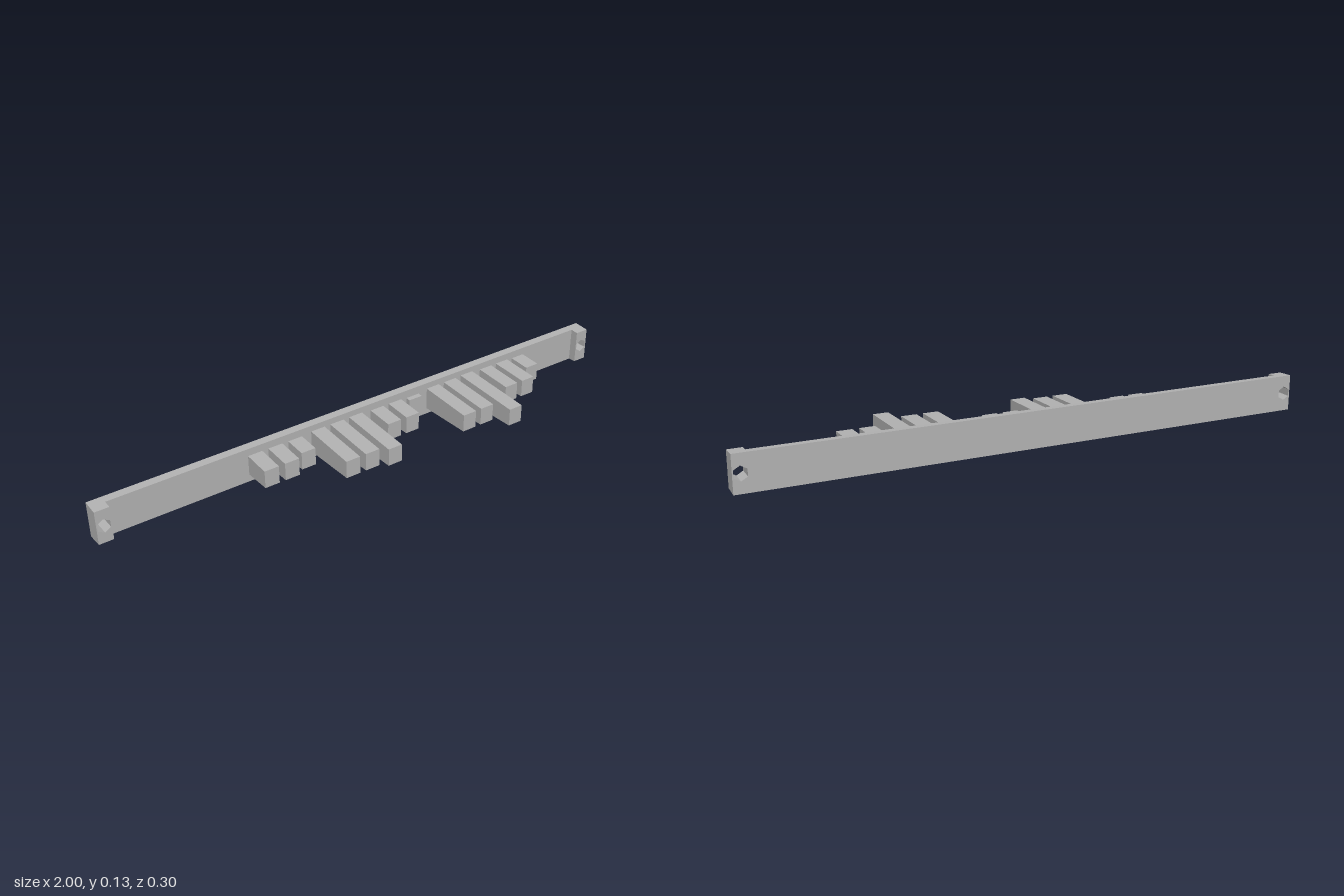
import * as THREE from 'three';

const MID = 0.0635;    // height of the centre line
const BACK = -0.149;   // rear face of the rail
const FACE = -0.12;    // front face of the rail

// Draft angle: outer edges draw in towards the front; holes stay straight
function taper(geometry, halfHeight, slope, z0) {
  const p = geometry.attributes.position;
  for (let i = 0; i < p.count; i++) {
    const dy = p.getY(i) - MID;
    if (Math.abs(dy) < halfHeight * 0.6) continue;
    p.setY(i, MID + Math.sign(dy) * (halfHeight - slope * (p.getZ(i) - z0)));
  }
  geometry.computeVertexNormals();
  return geometry;
}

// Rectangular slab with six-sided holes, extruded towards the front
function slab(x0, x1, z0, z1, holes) {
  const h = 0.0635;
  const shape = new THREE.Shape([
    [x0, MID - h], [x1, MID - h], [x1, MID + h], [x0, MID + h],
  ].map(([x, y]) => new THREE.Vector2(x, y)));
  for (const cx of holes) {
    const pts = [];
    for (let i = 0; i < 6; i++) {
      const a = Math.PI / 2 - (i * Math.PI) / 3;
      pts.push(new THREE.Vector2(cx + 0.0245 * Math.cos(a), MID + 0.0245 * Math.sin(a)));
    }
    shape.holes.push(new THREE.Path(pts));
  }
  const g = new THREE.ExtrudeGeometry(shape, { depth: z1 - z0, bevelEnabled: false });
  g.translate(0, 0, z0);
  return taper(g, h, 0.06, BACK);
}

export function createModel() {
  const group = new THREE.Group();
  const grey = new THREE.MeshStandardMaterial({ color: 0xb2b2b2, flatShading: true });
  grey.name = 'grey';
  const add = (geometry, name) => {
    const mesh = new THREE.Mesh(geometry, grey);
    mesh.name = name;
    group.add(mesh);
  };

  // Long back rail and its two raised mounting ends
  add(slab(-1, 1, BACK, FACE, [-0.975, 0.975]), 'rail');
  add(slab(0.95, 1, FACE, -0.091, [0.975]), 'leftMount');
  add(slab(-1, -0.95, FACE, -0.091, [-0.975]), 'rightMount');

  // Five groups of three teeth; each number is the z of a tooth's tip
  const tips = [
    [-0.018, -0.018, -0.039],
    [0.087, 0.087, 0.108],
    [-0.018, -0.018, -0.102],
    [0.087, 0.087, 0.149],
    [0.024, 0.024, -0.039],
  ];
  tips.forEach((row, g) => row.forEach((tip, i) => {
    const root = FACE - 0.004;
    const geo = new THREE.BoxGeometry(0.053, 0.063, tip - root).toNonIndexed();
    geo.translate(-0.433 + g * 0.2405 + i * 0.0757, MID, (tip + root) / 2);
    add(taper(geo, 0.0315, 0.04, tip), `tooth${g * 3 + i + 1}`);
  }));

  return group;
}
